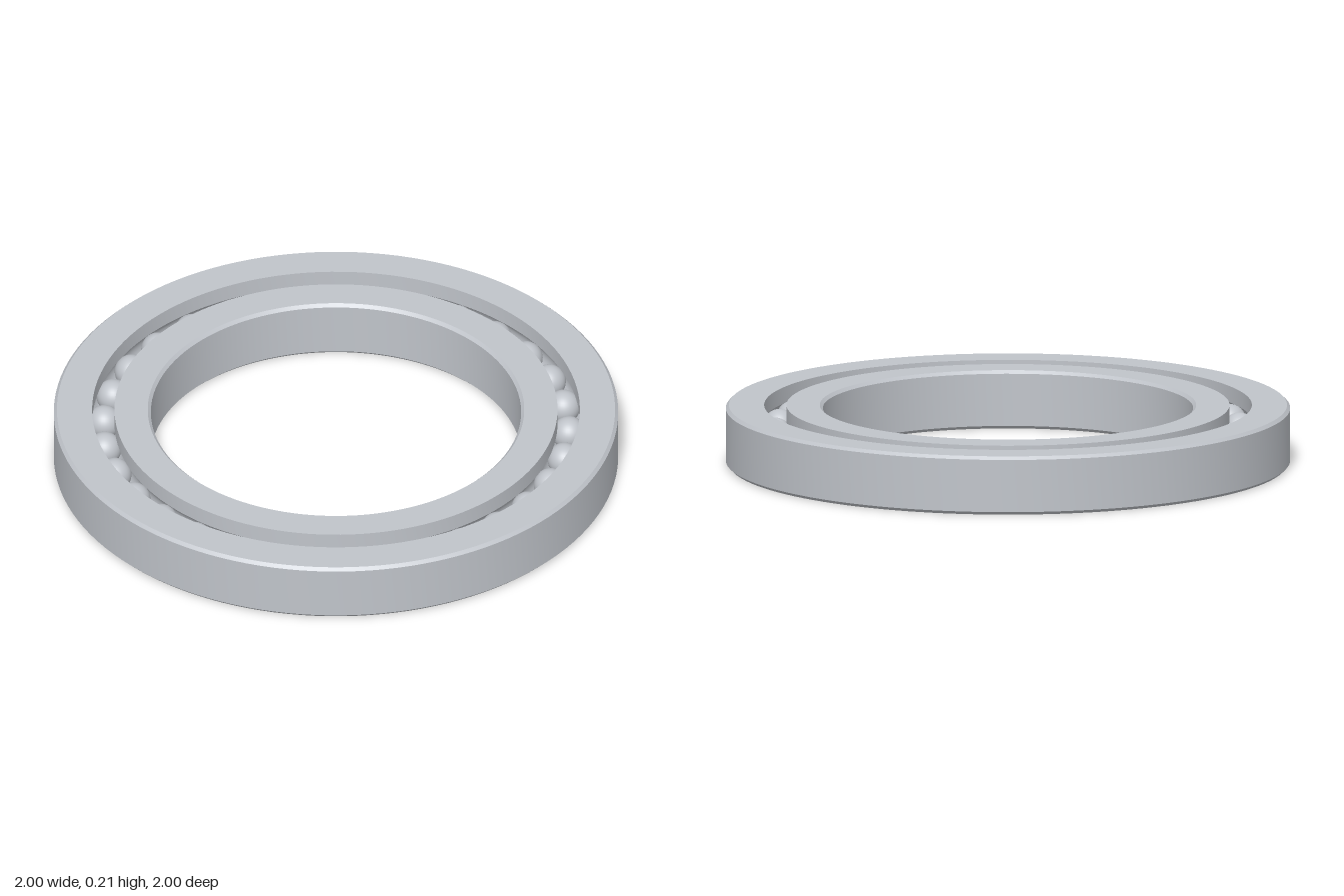
import * as THREE from 'three';
import { toCreasedNormals } from 'three/addons/utils/BufferGeometryUtils.js';

const H = 0.21;            // ring height
const PITCH = 0.8245;      // radius of the ball circle
const BALL = 0.06;
const GROOVE = 0.061;      // raceway radius
const HALF_GAP = 0.0395;   // half the slot between the rings
const CHAMFER = 0.011;
const BALLS = 31;

// Raceway arc; side = 1 cuts into the outer ring, -1 into the inner ring. Runs upward.
function raceway(side) {
  const points = [];
  const half = Math.acos(HALF_GAP / GROOVE);
  for (let i = 0; i <= 12; i++) {
    const a = -half + (2 * half * i) / 12;
    points.push([PITCH + side * GROOVE * Math.cos(a), H / 2 + GROOVE * Math.sin(a)]);
  }
  return points;
}

// Turn a closed counterclockwise profile, keeping its edges sharp
function ring(name, profile, material) {
  const points = [...profile, profile[0]].map(([r, y]) => new THREE.Vector2(r, y));
  const geometry = toCreasedNormals(new THREE.LatheGeometry(points, 128), Math.PI / 6);
  const mesh = new THREE.Mesh(geometry, material);
  mesh.name = name;
  return mesh;
}

export function createModel() {
  const group = new THREE.Group();
  group.name = 'ballBearing';
  const steel = new THREE.MeshStandardMaterial({ color: 0xc0c4ca });
  steel.name = 'steel';

  // Outer ring: chamfered outside, raceway inside
  const slotOut = PITCH + HALF_GAP;
  group.add(ring('outerRing', [
    [slotOut, 0], [1 - CHAMFER, 0], [1, CHAMFER], [1, H - CHAMFER], [1 - CHAMFER, H], [slotOut, H],
    ...raceway(1).reverse(),
  ], steel));

  // Inner ring: chamfered bore, raceway outside
  const slotIn = PITCH - HALF_GAP;
  const bore = 0.656;
  group.add(ring('innerRing', [
    [bore + CHAMFER, 0], [slotIn, 0],
    ...raceway(-1),
    [slotIn, H], [bore + CHAMFER, H], [bore, H - CHAMFER], [bore, CHAMFER],
  ], steel));

  // Balls evenly spaced in the raceway
  const balls = new THREE.Group();
  balls.name = 'balls';
  const ballGeometry = new THREE.SphereGeometry(BALL, 32, 20);
  for (let i = 0; i < BALLS; i++) {
    const a = (2 * Math.PI * i) / BALLS;
    const ball = new THREE.Mesh(ballGeometry, steel);
    ball.name = 'ball';
    ball.position.set(PITCH * Math.cos(a), H / 2, PITCH * Math.sin(a));
    balls.add(ball);
  }
  group.add(balls);
  return group;
}
